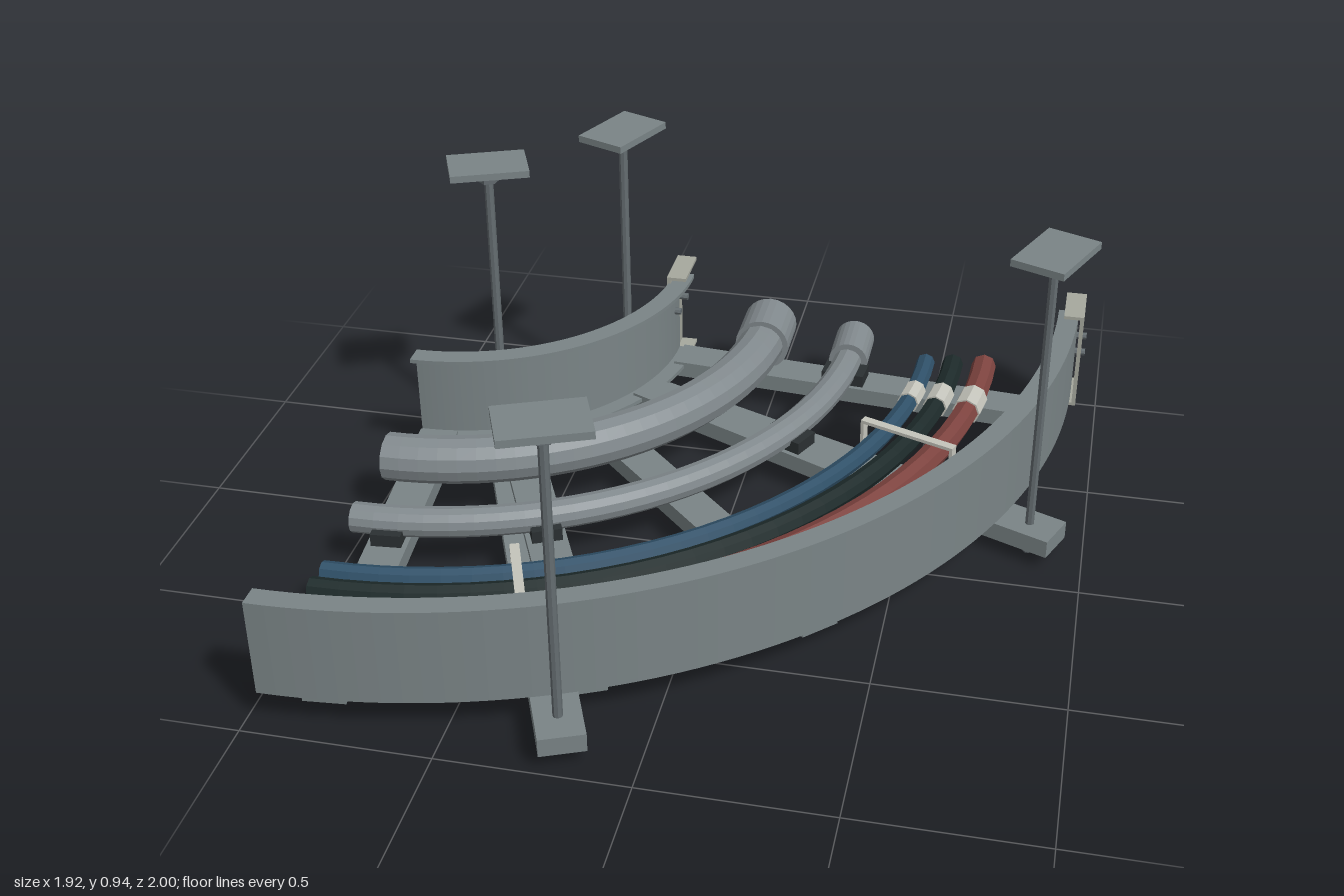
import * as THREE from 'three';

const CX = -0.96, CZ = -0.92;   // centre of the bend
const RUNG_TOP = 0.115;
const rad = THREE.MathUtils.degToRad;

const material = (name, color) => {
  const m = new THREE.MeshStandardMaterial({ color });
  m.name = name;
  return m;
};

export function createModel() {
  const steel = material('galvanised steel', 0x7a8486);
  const conduitGrey = material('conduit grey', 0x81898d);
  const rodGrey = material('rod steel', 0x646c70);
  const plateTan = material('splice plate', 0xa6a89e);
  const strapLight = material('strap and marker', 0xc4c4bb);
  const rubber = material('clamp rubber', 0x2b3032);
  const blue = material('blue cable', 0x2f5068);
  const black = material('dark cable', 0x1d2a2a);
  const red = material('red cable', 0x7d433f);

  const model = new THREE.Group();
  model.name = 'cableTrayBend';
  const bend = new THREE.Group();
  bend.name = 'bend';
  bend.position.set(CX, 0, CZ);
  model.add(bend);

  const add = (parent, name, geometry, mat, x = 0, y = 0, z = 0) => {
    const mesh = new THREE.Mesh(geometry, mat);
    mesh.name = name;
    mesh.position.set(x, y, z);
    parent.add(mesh);
    return mesh;
  };
  const flat = (geometry) => {
    const g = geometry.toNonIndexed();
    g.computeVertexNormals();
    return g;
  };
  // Box given by its limits
  const box = (parent, name, mat, x0, x1, y0, y1, z0, z1) =>
    add(parent, name, new THREE.BoxGeometry(x1 - x0, y1 - y0, z1 - z0), mat,
      (x0 + x1) / 2, (y0 + y1) / 2, (z0 + z1) / 2);
  // Group whose local x axis points outward at an angle of the bend
  const spoke = (name, degrees) => {
    const g = new THREE.Group();
    g.name = name;
    g.rotation.y = -rad(degrees);
    bend.add(g);
    return g;
  };

  // Quarter ring of rectangular section
  const sector = (parent, name, r0, r1, y0, y1) => {
    const s = new THREE.Shape();
    s.absarc(0, 0, r1, 0, Math.PI / 2, false);
    s.absarc(0, 0, r0, Math.PI / 2, 0, true);
    const g = new THREE.ExtrudeGeometry(s, { depth: y1 - y0, bevelEnabled: false, curveSegments: 28 });
    g.rotateX(Math.PI / 2);
    add(parent, name, g, steel, 0, y1, 0);
  };

  // Side rails: channels opening towards the tray
  const T = 0.012;
  const rail = (name, web0, web1, r0, r1) => {
    const g = new THREE.Group();
    g.name = name;
    bend.add(g);
    sector(g, name + 'Web', web0, web1, 0.095 + T, 0.37 - T);
    sector(g, name + 'TopFlange', r0, r1, 0.37 - T, 0.37);
    sector(g, name + 'BottomFlange', r0, r1, 0.095, 0.095 + T);
  };
  rail('outerRail', 1.88 - T, 1.88, 1.82, 1.88);
  rail('innerRail', 0.63, 0.63 + T, 0.63, 0.69);

  // Splice plates at the back ends of the rails, with bolts
  const splice = (name, x, side) => {
    const g = new THREE.Group();
    g.name = name;
    g.position.x = x;
    g.scale.x = 1;
    model.add(g);
    const span = (a, b) => side > 0 ? [a, b] : [-b, -a];
    box(g, 'spliceWeb', plateTan, ...span(-0.012, 0), 0.085, 0.39, -1, -0.845);
    box(g, 'spliceTopLip', plateTan, ...span(-0.06, -0.012), 0.38, 0.39, -1, -0.845);
    box(g, 'spliceBottomLip', plateTan, ...span(-0.06, -0.012), 0.085, 0.094, -1, -0.845);
    for (const z of [-0.872, -0.973]) {
      const bolt = new THREE.CylinderGeometry(0.011, 0.011, 0.05, 8);
      bolt.rotateZ(Math.PI / 2);
      add(g, 'spliceBolt', flat(bolt), rodGrey, -side * 0.013, 0.26, z);
    }
  };
  splice('outerSplice', 0.938, 1);
  splice('innerSplice', -0.34, -1);

  // Rungs, with rubber saddles under the thinner conduit
  for (const a of [5, 25, 45, 65, 85]) {
    const g = spoke('rungGroup', a);
    box(g, 'rung', steel, 0.655, 1.855, 0.065, RUNG_TOP, -0.056, 0.056);
    if (a !== 45) box(g, 'saddle', rubber, 1.13, 1.26, RUNG_TOP, 0.152, -0.042, 0.042);
  }

  // Hangers: strut, threaded rods, nuts and ceiling plates
  for (const a of [22.5, 67.5]) {
    const g = spoke('hanger', a);
    box(g, 'strut', steel, 0.49, 2.04, 0.042, 0.094, -0.06, 0.06);
    for (const r of [0.573, 1.957]) {
      add(g, 'rod', flat(new THREE.CylinderGeometry(0.013, 0.013, 0.92, 8)), rodGrey, r, 0.46, 0);
      add(g, 'lowerNut', flat(new THREE.CylinderGeometry(0.024, 0.024, 0.03, 6)), rodGrey, r, 0.027, 0);
      add(g, 'upperNut', flat(new THREE.CylinderGeometry(0.03, 0.03, 0.036, 6)), rodGrey, r, 0.902, 0);
      box(g, 'ceilingPlate', steel, r - 0.075, r + 0.075, 0.918, 0.938, -0.11, 0.11);
    }
  }

  // Curved round bar from angle a0 to a1, closed at both ends
  const bentBar = (name, mat, R, r, y, sides, a0 = 0, a1 = 90, steps = 28) => {
    const g = spoke(name, a0);
    const arc = rad(a1 - a0);
    const tube = new THREE.TorusGeometry(R, r, sides, steps, arc);
    tube.rotateX(Math.PI / 2);
    add(g, name + 'Body', flat(tube), mat, 0, y, 0);
    const start = add(g, name + 'End', new THREE.CircleGeometry(r, sides), mat, R, y, 0);
    start.rotation.y = Math.PI;
    const end = add(g, name + 'End', new THREE.CircleGeometry(r, sides), mat,
      R * Math.cos(arc), y, R * Math.sin(arc));
    end.rotation.y = -arc;
  };

  // Conduits with hollow couplings at the back
  for (const [name, R, r, rc] of [['largeConduit', 0.921, 0.069, 0.083], ['smallConduit', 1.194, 0.043, 0.06]]) {
    const y = RUNG_TOP + r;
    bentBar(name, conduitGrey, R, r, y, 12);
    const ring = new THREE.Shape().absarc(0, 0, rc, 0, Math.PI * 2, false);
    ring.holes.push(new THREE.Path().absarc(0, 0, r * 0.96, 0, Math.PI * 2, true));
    const g = new THREE.ExtrudeGeometry(ring, { depth: 0.155, bevelEnabled: false, curveSegments: 12 });
    add(model, name + 'Coupling', g, conduitGrey, CX + R, y, -1);
  }

  // Cables with marker sleeves
  for (const [name, mat, R, r] of [['blueCable', blue, 1.428, 0.028],
    ['darkCable', black, 1.512, 0.032], ['redCable', red, 1.608, 0.037]]) {
    bentBar(name, mat, R, r, RUNG_TOP + r, 8);
    bentBar(name + 'Marker', strapLight, R, r + 0.005, RUNG_TOP + r, 8, 7.1, 10.4, 2);
  }

  // Straps bridging the three cables
  for (const a of [20.4, 69.3]) {
    const g = spoke('cableStrap', a);
    box(g, 'strapTop', strapLight, 1.385, 1.68, 0.2, 0.21, -0.013, 0.013);
    box(g, 'strapInnerLeg', strapLight, 1.385, 1.395, 0.1, 0.2, -0.013, 0.013);
    box(g, 'strapOuterLeg', strapLight, 1.67, 1.68, 0.1, 0.2, -0.013, 0.013);
  }

  return model;
}
